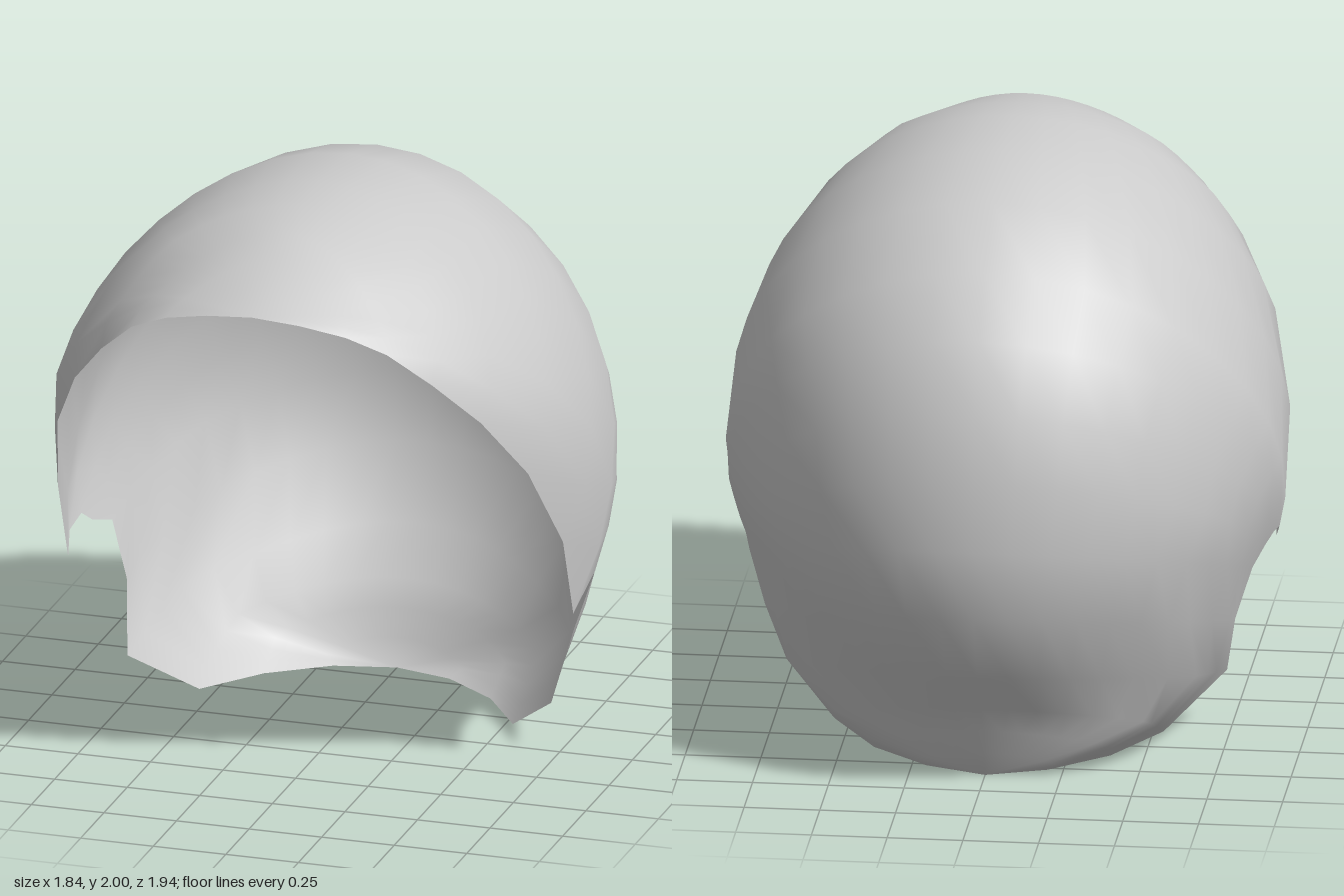
import * as THREE from 'three';
import { mergeVertices } from 'three/addons/utils/BufferGeometryUtils.js';

// Each section runs from a rim point [x, y, z] over the midline point [y, z] to the mirrored rim point
const SECTIONS = [
  // front opening, from the brow down to the temple point
  [0, 1.78, 0.97, 1.78, 0.97],
  [0.16, 1.765, 0.96, 1.84, 0.85],
  [0.31, 1.73, 0.93, 1.895, 0.74],
  [0.44, 1.67, 0.89, 1.95, 0.62],
  [0.57, 1.55, 0.81, 1.98, 0.44],
  [0.70, 1.39, 0.69, 2.0, 0.25],
  [0.81, 1.17, 0.53, 1.985, -0.07],
  [0.87, 0.87, 0.34, 1.91, -0.37],
  [0.87, 0.58, 0.23, 1.75, -0.62],
  // ear notch
  [0.89, 0.645, 0.15, 1.57, -0.79],
  [0.885, 0.665, 0.04, 1.35, -0.9],
  [0.86, 0.63, 0, 1.13, -0.95],
  [0.83, 0.59, -0.12, 0.9, -0.97],
  [0.77, 0.40, -0.09, 0.66, -0.95],
  [0.73, 0.18, 0.03, 0.42, -0.83],
  // nape
  [0.54, 0.02, -0.15, 0.27, -0.71],
  [0.39, 0.01, -0.38, 0.18, -0.67],
  [0.20, 0.005, -0.53, 0.09, -0.63],
  [0, 0, -0.59, 0, -0.59],
];
// Side outline of the head: the midline, closed by an imagined face and neck [y, z]
const OUTLINE = [
  ...SECTIONS.map((s) => [s[3], s[4]]),
  [-0.09, -0.44], [-0.2, -0.21], [-0.31, -0.01], [-0.14, 0.48],
  [0.71, 0.8], [1.43, 1.0], [1.63, 1.01], [1.71, 1.0],
];
const CENTER_Y = 0.95, CENTER_Z = 0.1, HALF_WIDTH = 0.925;

// Half width of the head at a point of its side outline
function halfWidth(y, z) {
  const dy = y - CENTER_Y, dz = z - CENTER_Z;
  let ratio = 0;
  OUTLINE.forEach(([y0, z0], i) => {
    const [y1, z1] = OUTLINE[(i + 1) % OUTLINE.length];
    const ey = y1 - y0, ez = z1 - z0;
    const ay = y0 - CENTER_Y, az = z0 - CENTER_Z;
    const det = dy * ez - dz * ey;
    if (Math.abs(det) < 1e-9) return;
    const along = (ay * dz - az * dy) / det;
    const reach = (ay * ez - az * ey) / det;
    if (along >= -1e-6 && along <= 1 + 1e-6 && reach > 0) ratio = Math.max(ratio, 1 / reach);
  });
  return HALF_WIDTH * Math.sqrt(Math.max(0, 1 - ratio * ratio));
}

function shellGeometry(columns) {
  const positions = [], indices = [];
  SECTIONS.forEach(([rx, ry, rz, my, mz], i) => {
    const offset = rx - halfWidth(ry, rz);
    for (let j = 0; j <= columns; j++) {
      const w = (2 * j) / columns - 1;
      const s = Math.sin((Math.PI / 2) * (1 - Math.abs(w)));
      const y = ry + (my - ry) * s, z = rz + (mz - rz) * s;
      // the rim keeps its own width, easing into the head shape
      const x = w === 0 ? 0 : Math.max(0, halfWidth(y, z) + offset * (1 - s) ** 2);
      positions.push(Math.sign(w) * x, y, z);
      if (i < SECTIONS.length - 1 && j < columns) {
        const a = i * (columns + 1) + j, c = a + columns + 1;
        indices.push(a, a + 1, c, a + 1, c + 1, c);
      }
    }
  });
  const geometry = new THREE.BufferGeometry();
  geometry.setAttribute('position', new THREE.Float32BufferAttribute(positions, 3));
  geometry.setIndex(indices);
  const merged = mergeVertices(geometry, 1e-4);
  merged.computeVertexNormals();
  return merged;
}

export function createModel() {
  const group = new THREE.Group();
  group.name = 'hairCap';
  const material = new THREE.MeshStandardMaterial({ color: 0xcccccc, side: THREE.DoubleSide });
  const shell = new THREE.Mesh(shellGeometry(20), material);
  shell.name = 'capShell';
  group.add(shell);
  return group;
}
